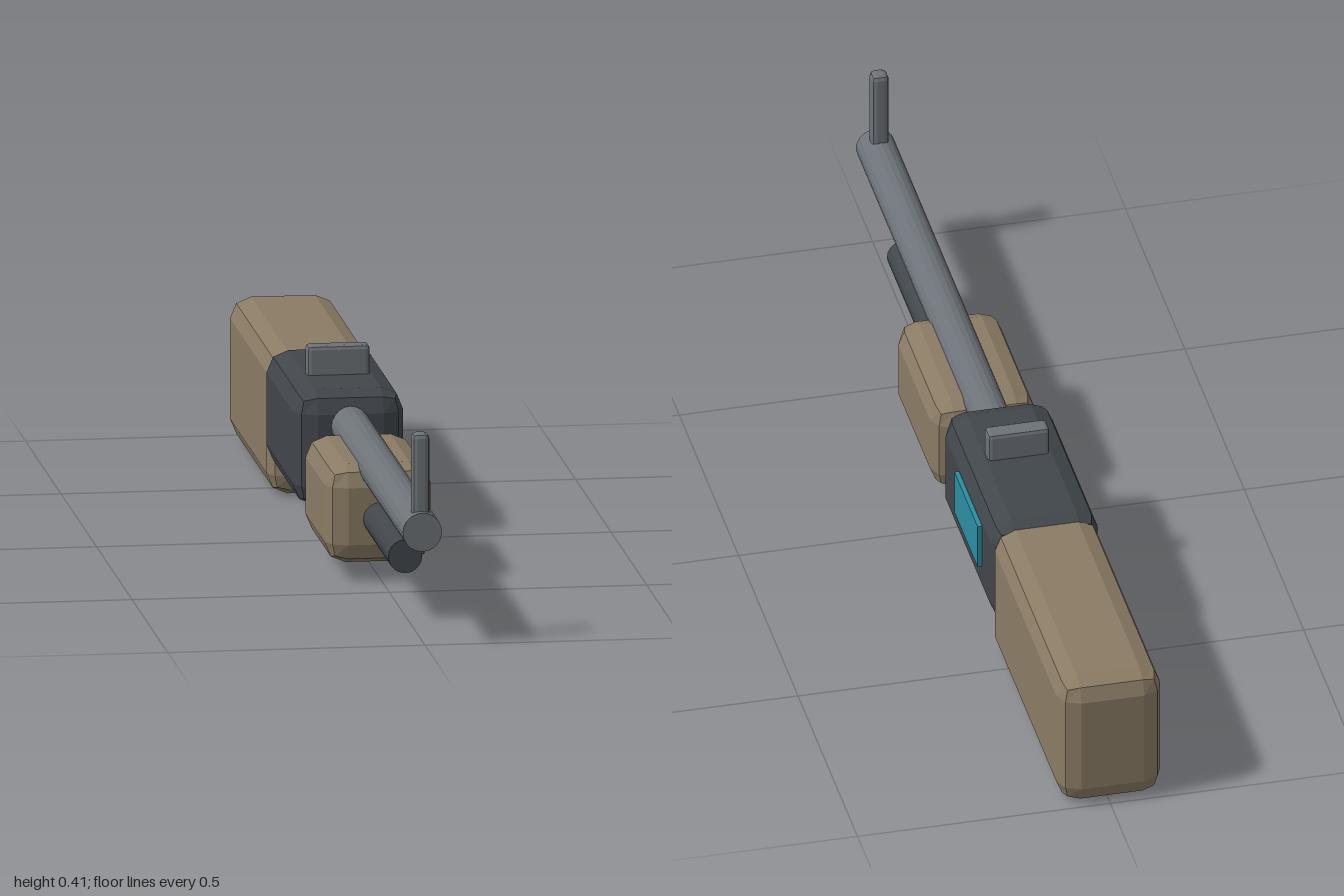
import * as THREE from 'three';
import { RoundedBoxGeometry } from 'three/addons/geometries/RoundedBoxGeometry.js';

const AXIS_X = -0.005; // the side panel shifts the body slightly off centre

const paint = (color) => new THREE.MeshStandardMaterial({ color, flatShading: true });

export function createModel() {
  const group = new THREE.Group();
  const tan = paint(0x8a7b64);
  const dark = paint(0x41464b);
  const steel = paint(0x6c7277);
  const teal = paint(0x2a8ea3);

  const add = (name, geometry, material, x, y, z) => {
    const mesh = new THREE.Mesh(geometry, material);
    mesh.name = name;
    mesh.position.set(x, y, z);
    group.add(mesh);
    return mesh;
  };

  // Bevelled block given by its width and its y and z ranges
  const block = (name, material, width, [y0, y1], [z0, z1], bevel) =>
    add(name, new RoundedBoxGeometry(width, y1 - y0, z1 - z0, 1, bevel), material,
      AXIS_X, (y0 + y1) / 2, (z0 + z1) / 2);

  // Round bar running along z
  const bar = (name, material, radius, y, [z0, z1]) =>
    add(name, new THREE.CylinderGeometry(radius, radius, z1 - z0, 20).rotateX(Math.PI / 2),
      material, AXIS_X, y, (z0 + z1) / 2);

  // Body
  block('receiver', dark, 0.214, [0.06, 0.288], [-0.46, -0.005], 0.043);
  block('stock', tan, 0.206, [0, 0.28], [-1, -0.405], 0.041);
  block('forend', tan, 0.206, [0.034, 0.228], [0.063, 0.408], 0.041);

  // Barrel with the tube beneath it
  bar('barrel', steel, 0.038, 0.222, [-0.05, 1]);
  bar('magazineTube', dark, 0.033, 0.125, [-0.05, 0.76]);

  // Sights
  block('frontSight', steel, 0.034, [0.22, 0.412], [0.95, 0.984], 0.01);
  block('rearSight', steel, 0.122, [0.26, 0.345], [-0.212, -0.174], 0.008);

  // Panel on the left side of the receiver
  add('sidePanel', new THREE.BoxGeometry(0.03, 0.093, 0.195), teal, 0.096, 0.192, -0.258);

  return group;
}
